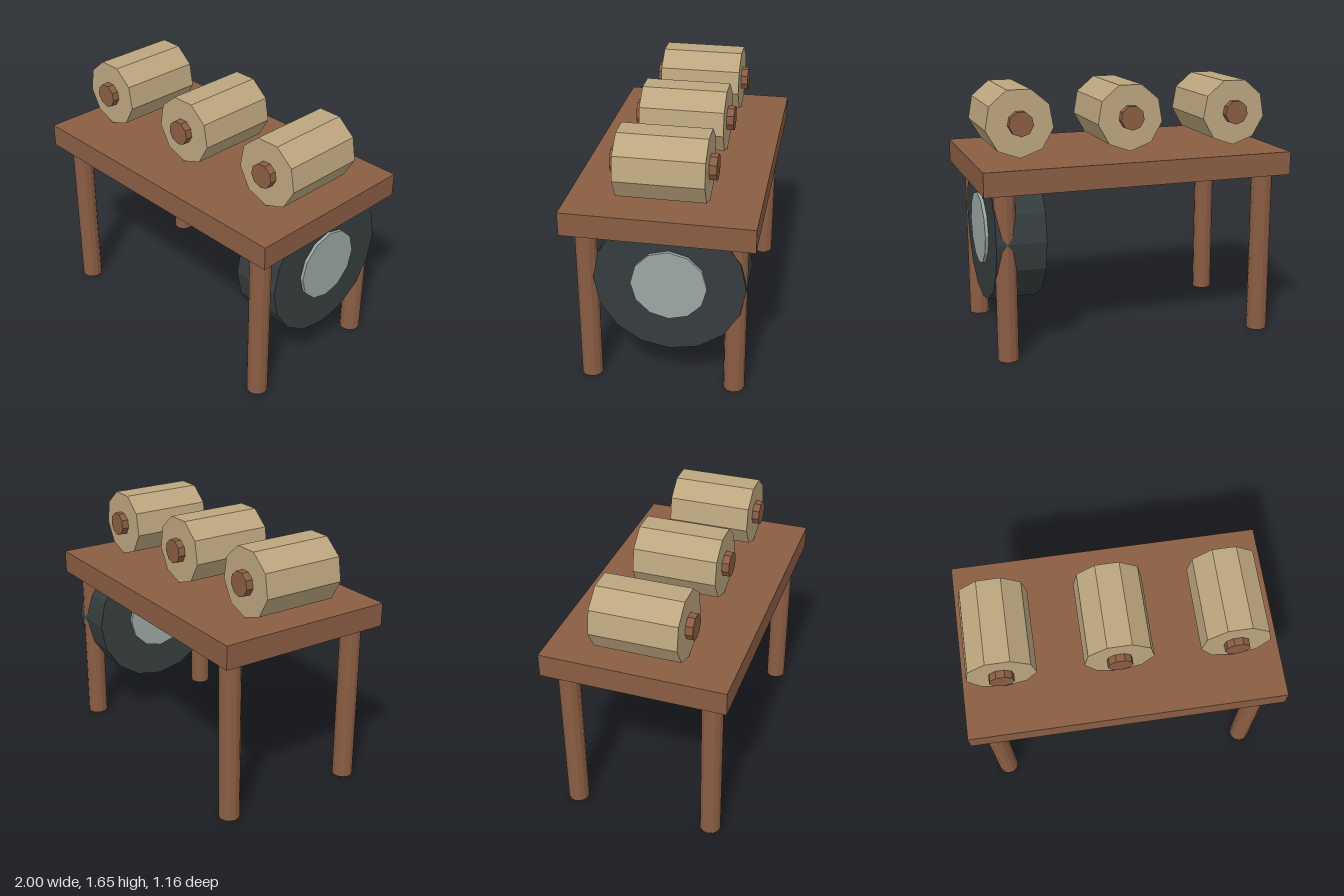
import * as THREE from 'three';

const mat = (name, color) => {
  const m = new THREE.MeshStandardMaterial({ color, flatShading: true });
  m.name = name;
  return m;
};

export function createModel() {
  const model = new THREE.Group();
  model.name = 'rollerTable';
  const wood = mat('brownWood', 0x8a5d43);
  const paleWood = mat('paleWood', 0xbca67f);
  const rubber = mat('darkRubber', 0x363d3e);
  const metal = mat('greyMetal', 0x9ba7a4);

  const add = (parent, name, geometry, material, x, y, z) => {
    const mesh = new THREE.Mesh(geometry, material);
    mesh.name = name;
    mesh.position.set(x, y, z);
    parent.add(mesh);
  };
  const prism = (radius, length, sides) =>
    new THREE.CylinderGeometry(radius, radius, length, sides);

  // Table top
  add(model, 'tableTop', new THREE.BoxGeometry(2, 0.15, 1.16), wood, 0, 1.145, 0);

  // Four round legs
  for (const x of [-0.86, 0.853])
    for (const z of [-0.457, 0.457])
      add(model, 'leg', prism(0.067, 1.08, 12), wood, x, 0.54, z);

  // Rollers, each on a thin axle running front to back
  for (const x of [-0.738, -0.017, 0.703]) {
    const roller = new THREE.Group();
    roller.name = 'roller';
    roller.position.set(x, 1.447, 0);
    add(roller, 'drum', prism(0.219, 0.54, 9).rotateX(Math.PI / 2), paleWood, 0, 0, 0);
    add(roller, 'axle', prism(0.079, 0.632, 9).rotateX(Math.PI / 2), wood, 0, 0, 0);
    model.add(roller);
  }

  // Wheel under the left end
  const wheel = new THREE.Group();
  wheel.name = 'wheel';
  wheel.position.set(0.765, 0.754, -0.06);
  add(wheel, 'tyre', prism(0.464, 0.314, 16).rotateZ(Math.PI / 2), rubber, 0, 0, 0);
  add(wheel, 'hub', prism(0.232, 0.354, 12).rotateZ(Math.PI / 2), metal, 0, 0, 0);
  model.add(wheel);

  return model;
}
